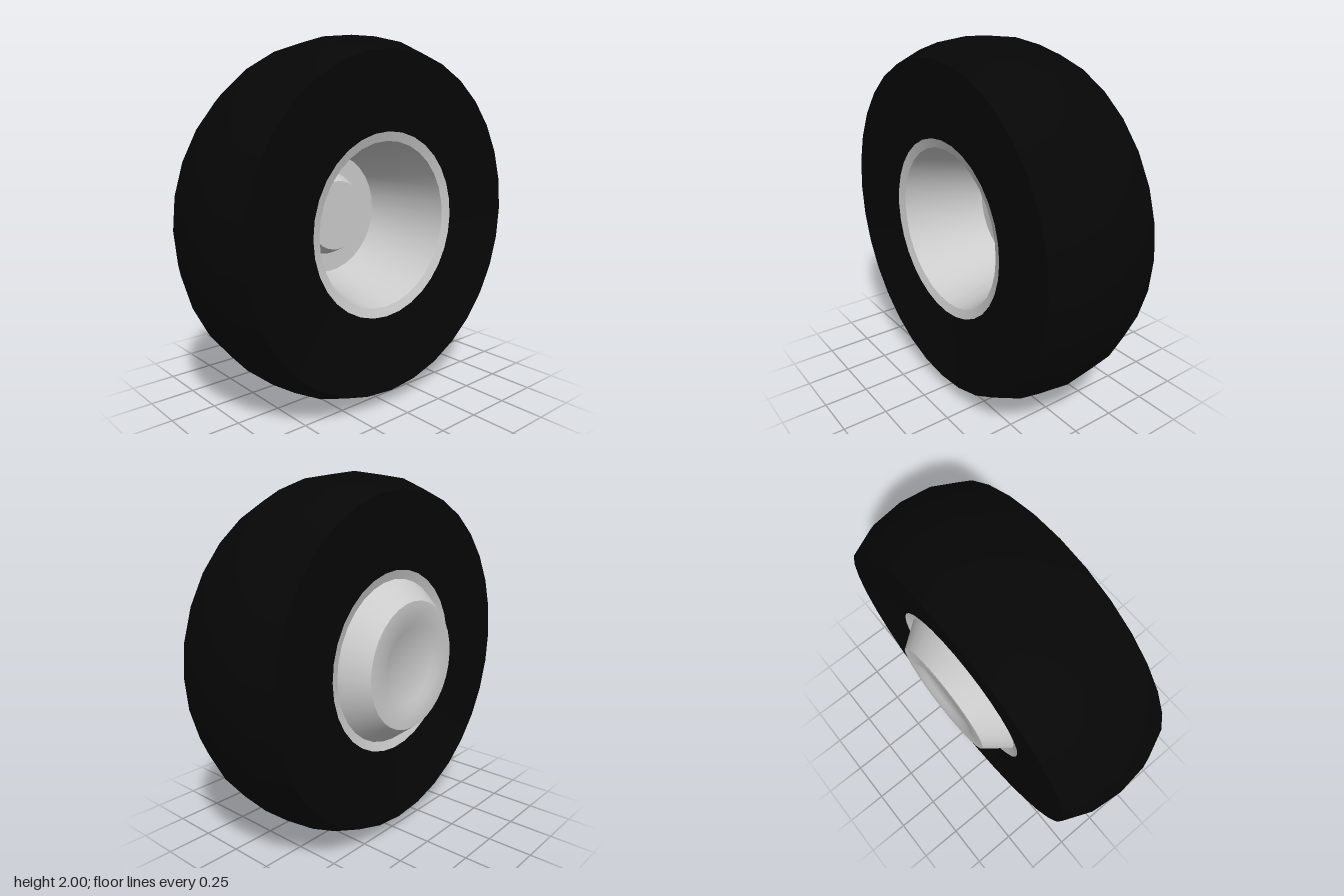
import * as THREE from 'three';
import { toCreasedNormals } from 'three/addons/utils/BufferGeometryUtils.js';

const SEGMENTS = 32;

// Revolves [radius, x] pairs around the axle (the x axis)
function revolve(name, profile, material) {
  const points = profile.map(([r, x]) => new THREE.Vector2(r, x));
  const lathe = new THREE.LatheGeometry(points, SEGMENTS);
  lathe.rotateZ(-Math.PI / 2);
  const mesh = new THREE.Mesh(toCreasedNormals(lathe, 0.47), material);
  mesh.name = name;
  return mesh;
}

export function createModel() {
  const rubber = new THREE.MeshStandardMaterial({ color: 0x060606, side: THREE.DoubleSide });
  const metal = new THREE.MeshStandardMaterial({ color: 0xcccccc, side: THREE.DoubleSide });

  const wheel = new THREE.Group();
  wheel.name = 'wheel';

  // Rounded tread with sidewalls that dish in toward the rim
  wheel.add(revolve('tire', [
    [0.5, -0.257], [0.915, -0.3], [0.98, -0.145], [1, 0.037],
    [0.98, 0.22], [0.915, 0.375], [0.5, 0.332],
  ], rubber));

  // Open side: lip, tapering barrel, flat floor and raised hub
  wheel.add(revolve('barrel', [
    [0, -0.08], [0.2, -0.08], [0.24, -0.165], [0.35, -0.165],
    [0.45, 0.316], [0.5, 0.332],
  ], metal));

  // Closed side: lip, protruding cone and softly dished face
  wheel.add(revolve('hubCover', [
    [0.5, -0.257], [0.45, -0.242], [0.35, -0.375], [0.24, -0.375],
    [0.2, -0.355], [0, -0.355],
  ], metal));

  wheel.position.y = 1;
  const model = new THREE.Group();
  model.name = 'wheelModel';
  model.add(wheel);
  return model;
}
